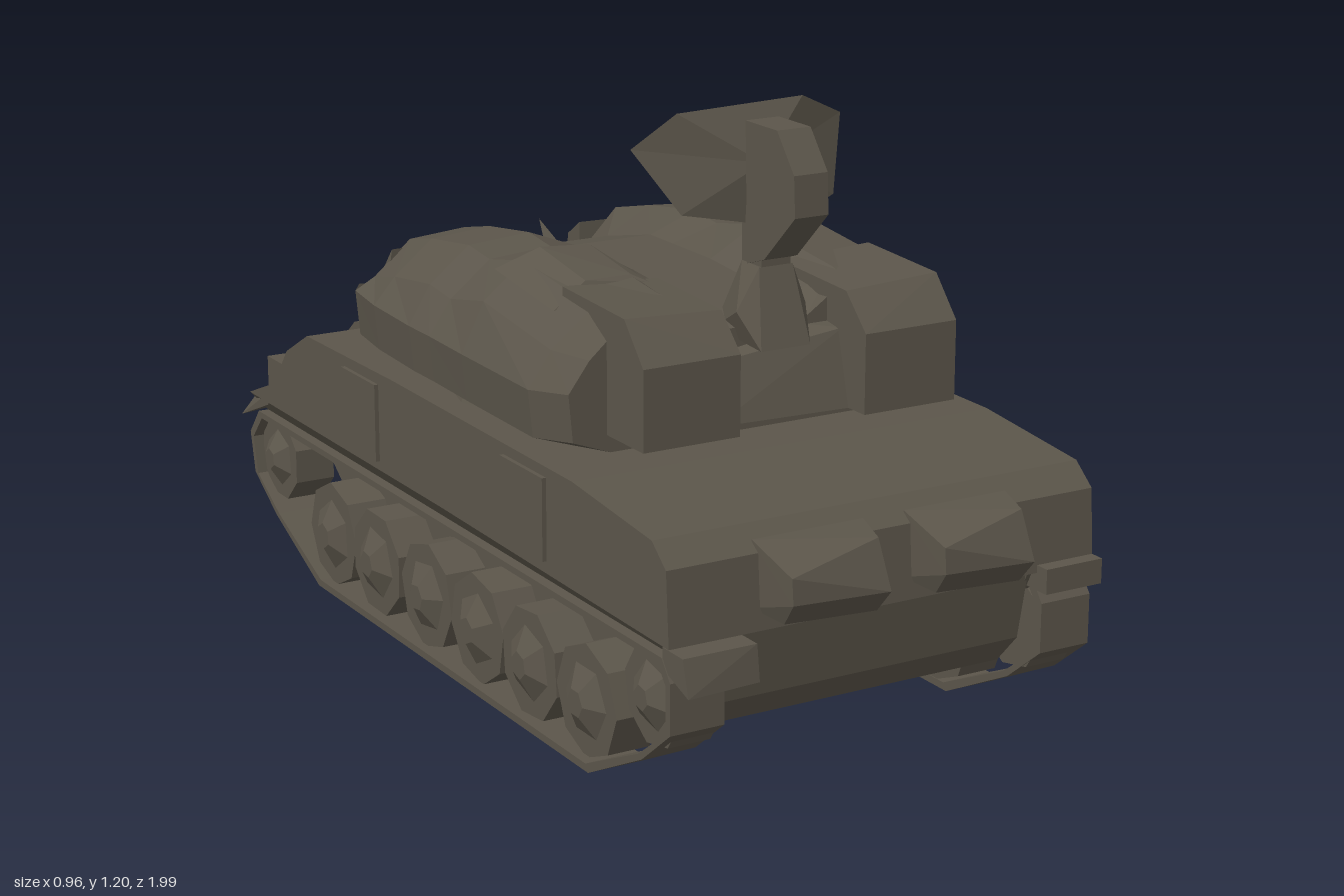
import * as THREE from 'three';
import { ConvexGeometry } from 'three/addons/geometries/ConvexGeometry.js';

const olive = new THREE.MeshStandardMaterial({ color: 0x5b554a, side: THREE.DoubleSide });
olive.name = 'olive drab';

// Facet a geometry so every face has its own normal
function facet(geo) {
  const g = geo.index ? geo.toNonIndexed() : geo;
  g.computeVertexNormals();
  return g;
}

function add(parent, name, geo) {
  const mesh = new THREE.Mesh(facet(geo), olive);
  mesh.name = name;
  parent.add(mesh);
  return mesh;
}

// Side profile given as [z, y], extruded across x0..x1
function sideExtrude(points, x0, x1, hole) {
  const shape = new THREE.Shape(points.map(p => new THREE.Vector2(...p)));
  if (hole) shape.holes.push(new THREE.Path(hole.map(p => new THREE.Vector2(...p))));
  return new THREE.ExtrudeGeometry(shape, { depth: x1 - x0, bevelEnabled: false })
    .rotateY(-Math.PI / 2).translate(x1, 0, 0);
}

// Box from its limits
function box(x0, x1, y0, y1, z0, z1) {
  return new THREE.BoxGeometry(x1 - x0, y1 - y0, z1 - z0)
    .translate((x0 + x1) / 2, (y0 + y1) / 2, (z0 + z1) / 2);
}

function hullOf(points) {
  return new ConvexGeometry(points.map(p => new THREE.Vector3(...p)));
}

// Skin through equal-length loops, with fans closing both ends
function loft(loops) {
  const n = loops[0].length, pos = loops.flat(2), idx = [];
  for (let s = 0; s < loops.length - 1; s++) {
    for (let i = 0; i < n; i++) {
      const a = s * n + i, b = s * n + (i + 1) % n;
      idx.push(a, a + n, b, b, a + n, b + n);
    }
  }
  [0, loops.length - 1].forEach(s => {
    const c = pos.length / 3, z = loops[s][0][2];
    pos.push(0, 0.64, z);
    for (let i = 0; i < n; i++) {
      const a = s * n + i, b = s * n + (i + 1) % n;
      idx.push(...(s === 0 ? [c, a, b] : [c, b, a]));
    }
  });
  const g = new THREE.BufferGeometry();
  g.setAttribute('position', new THREE.Float32BufferAttribute(pos, 3));
  g.setIndex(idx);
  return g;
}

function buildHull(root) {
  const hull = new THREE.Group();
  hull.name = 'hull';
  root.add(hull);
  // Upper hull: a long-tailed centre between sides that drop off earlier at the back
  const front = [[0, 0.355], [0.9, 0.345], [0.89, 0.49], [0.84, 0.532], [0.55, 0.56], [-0.2, 0.565]];
  add(hull, 'upperHull', sideExtrude([...front, [-0.64, 0.565], [-0.71, 0.55], [-0.82, 0.46], [-0.965, 0.345]], -0.315, 0.315));
  [-1, 1].forEach(s => add(hull, 'hullSide', sideExtrude(
    [...front, [-0.62, 0.56], [-0.73, 0.5], [-0.8, 0.41], [-0.94, 0.355]], s * 0.3925 - 0.0775, s * 0.3925 + 0.0775)));
  add(hull, 'lowerHull', sideExtrude([[0.88, 0.35], [0.85, 0.2], [0.79, 0.135],
    [-0.7, 0.135], [-0.95, 0.32], [-0.93, 0.36]], -0.335, 0.335));
  add(hull, 'turretRing', new THREE.CylinderGeometry(0.4, 0.42, 0.05, 12).translate(0, 0.58, 0));
  // Stowage boxes on the nose
  [[-0.28, -0.04], [0.05, 0.28]].forEach(([a, b]) => add(hull, 'noseBox', hullOf([
    [a, 0.38, 0.87], [b, 0.36, 0.87], [a, 0.51, 0.87], [b, 0.51, 0.87], [a + 0.02, 0.37, 0.95], [b - 0.02, 0.36, 0.95],
    [a + 0.01, 0.42, 0.995], [b - 0.02, 0.41, 0.995], [a + 0.01, 0.47, 0.99], [b - 0.02, 0.5, 0.95]])));
  add(hull, 'frontMudFlap', hullOf([[-0.465, 0.34, 0.87], [-0.31, 0.34, 0.87], [-0.465, 0.3, 0.87],
    [-0.31, 0.3, 0.87], [-0.465, 0.27, 0.96], [-0.31, 0.27, 0.95], [-0.465, 0.34, 0.94], [-0.31, 0.34, 0.94]]));
  add(hull, 'frontMudFlap', box(0.34, 0.47, 0.31, 0.36, 0.85, 0.93));
  add(hull, 'exhaustBox', box(-0.45, -0.32, 0.37, 0.45, -0.88, -0.76));
  [-1, 1].forEach(s => {
    // Sponson underside sloping in towards the tracks
    add(hull, 'sponson', hullOf([0.89, -0.93].flatMap(z => [[s * 0.47, 0.355, z], [s * 0.33, 0.355, z],
      [s * 0.33, 0.3, z * 0.97], [s * 0.44, 0.315, z * 0.97]])));
    [[0.28, 0.45], [-0.43, -0.27]].forEach(([z0, z1]) =>
      add(hull, 'sideLocker', box(s * 0.455 - 0.024, s * 0.455 + 0.024, 0.375, 0.54, z0, z1)));
    add(hull, 'rearFlap', hullOf([[s * 0.31, 0.4, -0.8], [s * 0.47, 0.4, -0.8],
      [s * 0.31, 0.36, -0.84], [s * 0.47, 0.35, -0.84],
      [s * 0.31, 0.34, -0.94], [s * 0.47, 0.29, -0.99], [s * 0.45, 0.36, -0.93]]));
  });
}

function buildRunningGear(root) {
  const outer = [[0.87, 0.32], [0.9, 0.28], [0.9, 0.18], [0.8, 0.1], [0.6, 0], [-0.6, 0],
    [-0.82, 0.1], [-0.93, 0.17], [-0.95, 0.26], [-0.9, 0.32]];
  const inner = outer.map(([z, y]) => [z * 0.983, 0.17 + (y - 0.17) * 0.91]);
  [-1, 1].forEach(s => {
    const side = new THREE.Group();
    side.name = s > 0 ? 'leftRunningGear' : 'rightRunningGear';
    root.add(side);
    add(side, 'track', sideExtrude(outer, s * 0.41 - 0.057, s * 0.41 + 0.057, inner));
    const wheel = (name, z, y, r, turn) => {
      const place = (g, x) => g.rotateX(turn).translate(s * x, y, z);
      add(side, name, place(new THREE.CylinderGeometry(r, r, 0.09, 8).rotateZ(Math.PI / 2), 0.4));
      // Hub cap tapering outwards
      add(side, 'hub', place(new THREE.CylinderGeometry(r * 0.25, r * 0.75, 0.03, 6)
        .rotateZ(-s * Math.PI / 2), 0.455));
    };
    [0.555, 0.33, 0.11, -0.115, -0.35, -0.565].forEach((z, i) => wheel('roadWheel', z, 0.125, 0.115, i * 0.3));
    wheel('driveSprocket', 0.8, 0.22, 0.1, 0.2);
    wheel('idlerWheel', -0.84, 0.225, 0.095, 0.4);
  });
}

function buildTurret(root) {
  const turret = new THREE.Group();
  turret.name = 'turret';
  root.add(turret);
  // Half section, bottom to top: humped shoulders beside a lower centre
  const half = [[0.38, 0.575], [0.47, 0.605], [0.48, 0.7], [0.43, 0.79], [0.34, 0.86], [0.2, 0.87]];
  const section = (z, w, lift, centre) => {
    const left = [...half.map(([x, y]) => [x * w, y > 0.75 ? y + lift : y, z]), [0.09, centre, z]];
    return [...left, ...left.slice().reverse().map(([x, y]) => [-x, y, z])];
  };
  add(turret, 'turretBody', loft([section(0.47, 0.9, -0.03, 0.78), section(0.4, 1, -0.02, 0.8),
    section(0.12, 0.99, 0.01, 0.82), section(-0.03, 0.98, -0.02, 0.82), section(-0.12, 0.98, -0.01, 0.82),
    section(-0.3, 0.96, -0.035, 0.78), section(-0.43, 0.92, -0.065, 0.71), section(-0.48, 0.85, -0.14, 0.68)]));
  // Weapon housings either side of the radar mount
  [-1, 1].forEach(s => {
    const a = s * 0.14, b = s * 0.35;
    add(turret, 'weaponHousing', hullOf([
      [a, 0.61, 0.605], [b, 0.61, 0.605], [a, 0.77, 0.605], [b, 0.77, 0.605],
      [a, 0.84, 0.535], [b, 0.85, 0.535], [a, 0.61, 0.3], [b, 0.61, 0.3], [a, 0.85, 0.3], [b, 0.86, 0.3]]));
    add(turret, 'rearLocker', hullOf([[s * 0.1, 0.64, -0.44], [s * 0.38, 0.64, -0.42], [s * 0.1, 0.78, -0.44],
      [s * 0.36, 0.78, -0.42], [s * 0.11, 0.66, -0.52], [s * 0.38, 0.66, -0.49], [s * 0.11, 0.74, -0.51]]));
  });
  add(turret, 'mantlet', hullOf([[-0.15, 0.61, 0.53], [0.15, 0.61, 0.55], [-0.15, 0.72, 0.49], [0.15, 0.76, 0.51],
    [-0.15, 0.61, 0.3], [0.15, 0.61, 0.3], [-0.15, 0.79, 0.3], [0.15, 0.79, 0.3]]));
  add(turret, 'roofHatch', hullOf([[-0.38, 0.85, 0.08], [-0.17, 0.85, 0.08], [-0.38, 0.82, 0.32], [-0.17, 0.85, 0.32],
    [-0.3, 0.893, 0.12], [-0.19, 0.885, 0.12], [-0.3, 0.865, 0.3], [-0.2, 0.865, 0.3]]));
  // Aerial spikes at the back
  [[-0.03, 0.72, -0.74, 0.64], [0.06, 0.77, -0.55, 0.67]].forEach(([x, y, z, base]) =>
    add(turret, 'aerialSpike', hullOf([[x, y, z], [x - 0.02, base, -0.46],
      [x + 0.02, base, -0.46], [x, base + 0.06, -0.45]])));

  // Radar: faceted pedestal, neck, feed horn and dish
  const radar = new THREE.Group();
  radar.name = 'radar';
  turret.add(radar);
  add(radar, 'radarMount', hullOf([[-0.06, 0.75, 0.55], [0.05, 0.75, 0.55], [-0.085, 0.82, 0.5], [0.07, 0.82, 0.5],
    [-0.035, 0.9, 0.5], [0.04, 0.9, 0.5], [-0.06, 0.76, 0.38], [0.06, 0.76, 0.38],
    [-0.03, 0.9, 0.43], [0.035, 0.9, 0.43]]));
  add(radar, 'radarNeck', box(-0.03, 0.035, 0.87, 1.02, 0.43, 0.5));
  add(radar, 'feedHorn', sideExtrude([[0.45, 1.175], [0.56, 1.175], [0.62, 1.1], [0.625, 1.02],
    [0.52, 0.92], [0.46, 0.9]], -0.037, 0.037));
  const rim = [[-0.24, 1.125], [-0.155, 1.19], [0.12, 1.2], [0.23, 1.15], [0.19, 1.0], [0.05, 0.96], [-0.16, 1.0]];
  const bow = (x, y) => 0.45 - 1.1 * x * x - 0.15 * (y - 1);
  const pos = [0, 1.09, 0.455], idx = [];
  rim.forEach(([x, y], i) => {
    pos.push(x, y, bow(x, y));
    idx.push(0, (i + 1) % rim.length + 1, i + 1);
  });
  const dish = new THREE.BufferGeometry();
  dish.setAttribute('position', new THREE.Float32BufferAttribute(pos, 3));
  dish.setIndex(idx);
  add(radar, 'dish', dish);
}

export function createModel() {
  const root = new THREE.Group();
  root.name = 'trackedVehicle';
  buildHull(root);
  buildRunningGear(root);
  buildTurret(root);
  return root;
}
